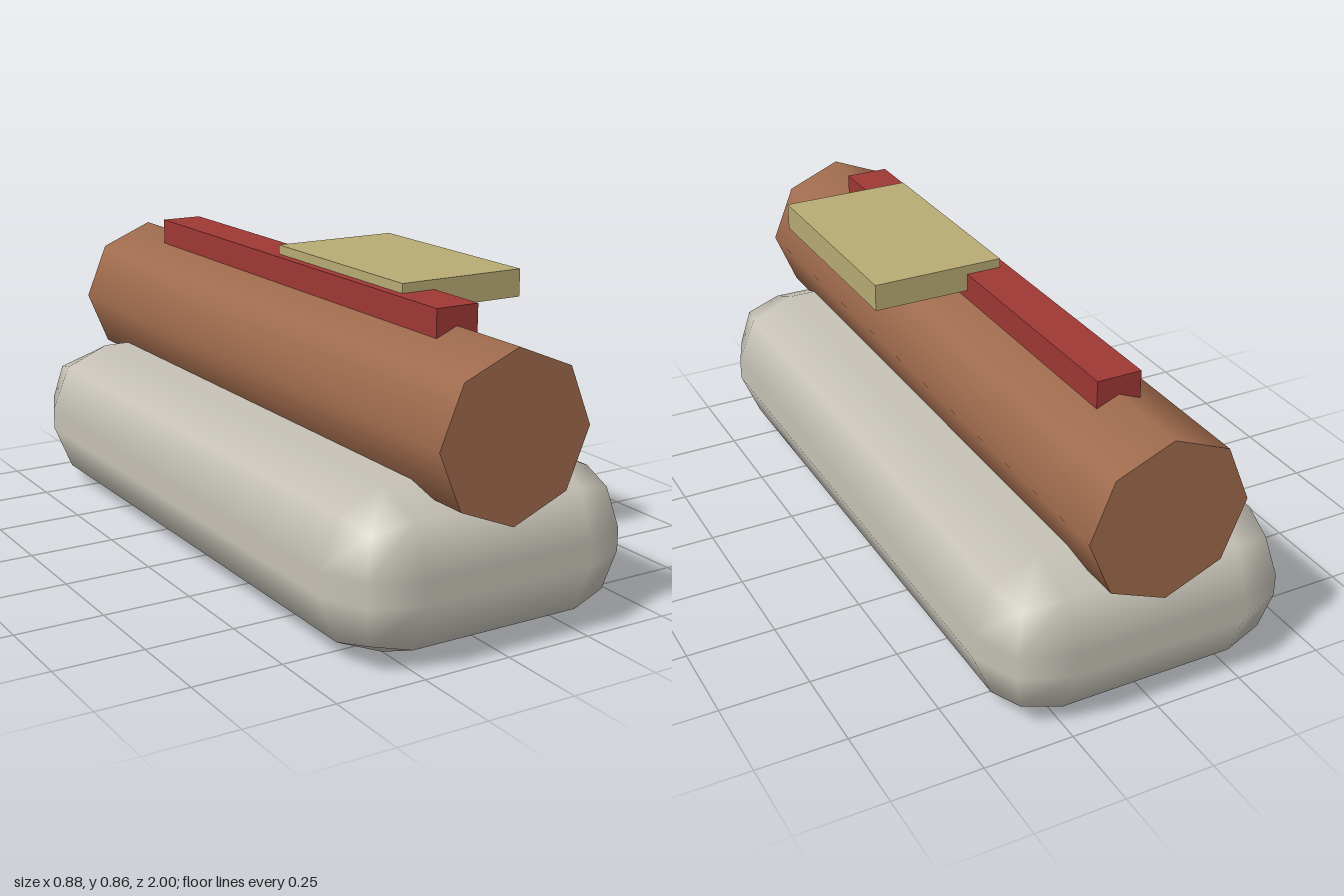
import * as THREE from 'three';
import { RoundedBoxGeometry } from 'three/addons/geometries/RoundedBoxGeometry.js';

function material(name, color) {
  const m = new THREE.MeshStandardMaterial({ color });
  m.name = name;
  return m;
}

export function createModel() {
  const model = new THREE.Group();
  const grey = material('warm grey', 0xc6c2b7);
  const brown = material('brown', 0xa06b4d);
  const red = material('dark red', 0x9f3835);
  const tan = material('tan', 0xb8ab74);

  const add = (name, geometry, mat, x, y, z) => {
    const mesh = new THREE.Mesh(geometry, mat);
    mesh.name = name;
    mesh.position.set(x, y, z);
    model.add(mesh);
  };

  // Coarsely rounded cushion-like base
  add('base', new RoundedBoxGeometry(0.875, 0.4375, 2, 1, 0.1875), grey, 0, 0.2188, 0);

  // Eight-sided smooth barrel lying along z, one corner upward
  const barrel = new THREE.CylinderGeometry(0.224, 0.224, 2, 8).rotateX(Math.PI / 2);
  add('barrel', barrel, brown, 0, 0.564, 0);

  // Rail along the top of the barrel
  add('topRail', new THREE.BoxGeometry(0.125, 0.075, 1.5), red, 0, 0.8005, 0);

  // Flat plate overhanging the left side
  add('sidePlate', new THREE.BoxGeometry(0.375, 0.075, 0.625), tan, 0.15, 0.8265, 0.25);

  return model;
}
